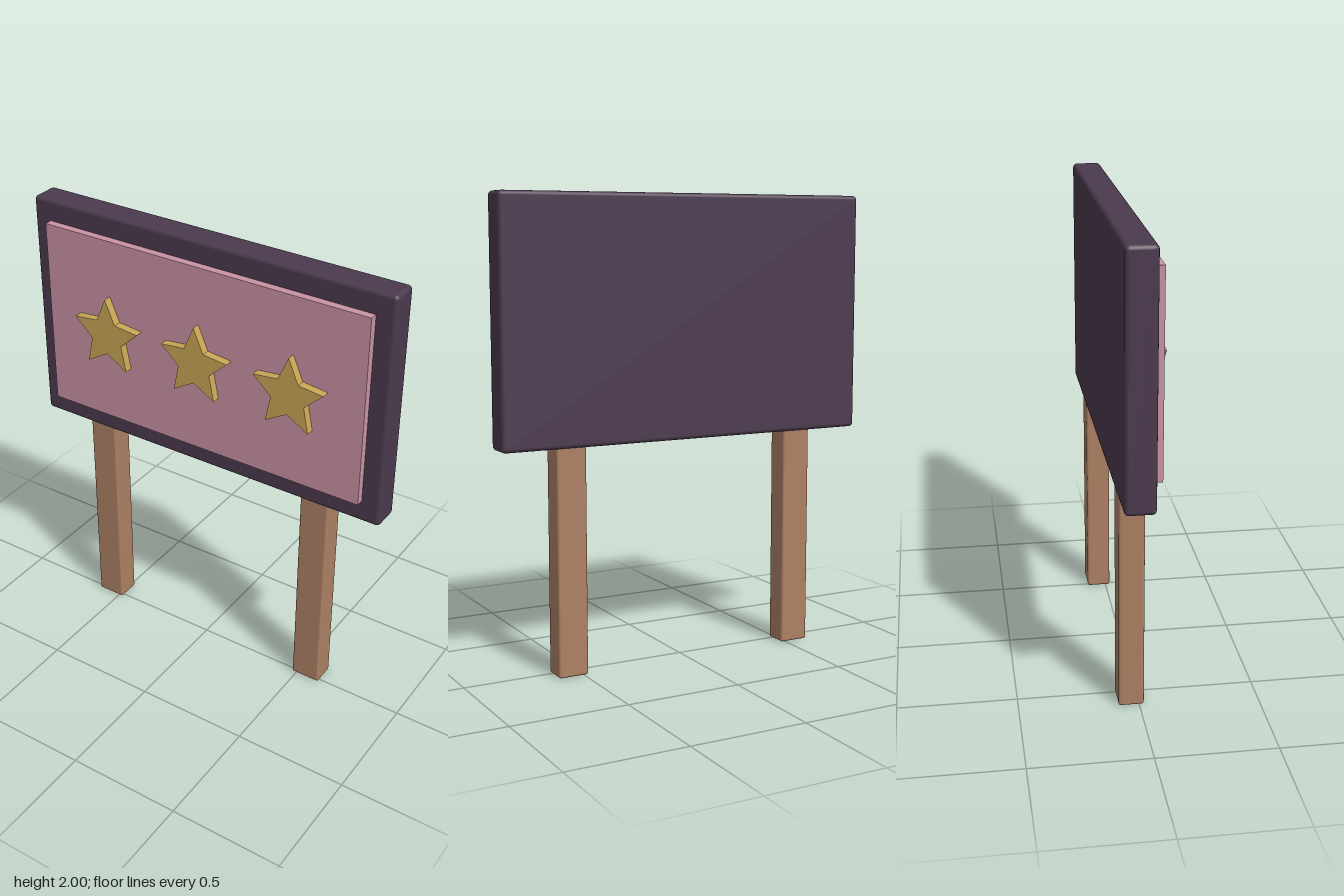
import * as THREE from 'three';
import { RoundedBoxGeometry } from 'three/addons/geometries/RoundedBoxGeometry.js';

function material(name, color) {
  const m = new THREE.MeshStandardMaterial({ color });
  m.name = name;
  return m;
}

// Box given by its minimum and maximum corners, with softened edges if radius > 0
function block(name, min, max, radius, mat) {
  const size = max.map((v, i) => v - min[i]);
  const geometry = radius > 0
    ? new RoundedBoxGeometry(...size, 2, radius)
    : new THREE.BoxGeometry(...size);
  const mesh = new THREE.Mesh(geometry, mat);
  mesh.name = name;
  mesh.position.set(...max.map((v, i) => (v + min[i]) / 2));
  return mesh;
}

// Five-pointed star outline, slightly taller than wide
function starShape() {
  const points = [];
  for (let i = 0; i < 10; i++) {
    const r = i % 2 ? 0.081 : 0.172;
    const a = Math.PI / 2 + (i * Math.PI) / 5;
    points.push(new THREE.Vector2(Math.cos(a) * r * 0.98, Math.sin(a) * r * 1.01));
  }
  return new THREE.Shape(points);
}

export function createModel() {
  const group = new THREE.Group();
  group.name = 'signboard';
  const plum = material('dark plum', 0x4b3a4e);
  const pink = material('dusty pink', 0xc993a4);
  const gold = material('gold', 0xc9a656);
  const wood = material('brown wood', 0xad8064);

  // Backing board and raised front panel
  group.add(block('board', [-0.85, 0.965, -0.098], [0.85, 2, 0.028], 0.018, plum));
  group.add(block('panel', [-0.766, 1.065, 0.01], [0.766, 1.906, 0.062], 0, pink));

  // Two posts, running up into the board
  for (const [name, x] of [['rightPost', -0.546], ['leftPost', 0.546]]) {
    group.add(block(name, [x - 0.066, 0, -0.086], [x + 0.066, 1.05, 0.02], 0.01, wood));
  }

  // Row of three stars
  const starGeometry = new THREE.ExtrudeGeometry(starShape(), { depth: 0.038, bevelEnabled: false });
  ['rightStar', 'middleStar', 'leftStar'].forEach((name, i) => {
    const star = new THREE.Mesh(starGeometry, gold);
    star.name = name;
    star.position.set((i - 1) * 0.444, 1.481, 0.06);
    group.add(star);
  });

  return group;
}
